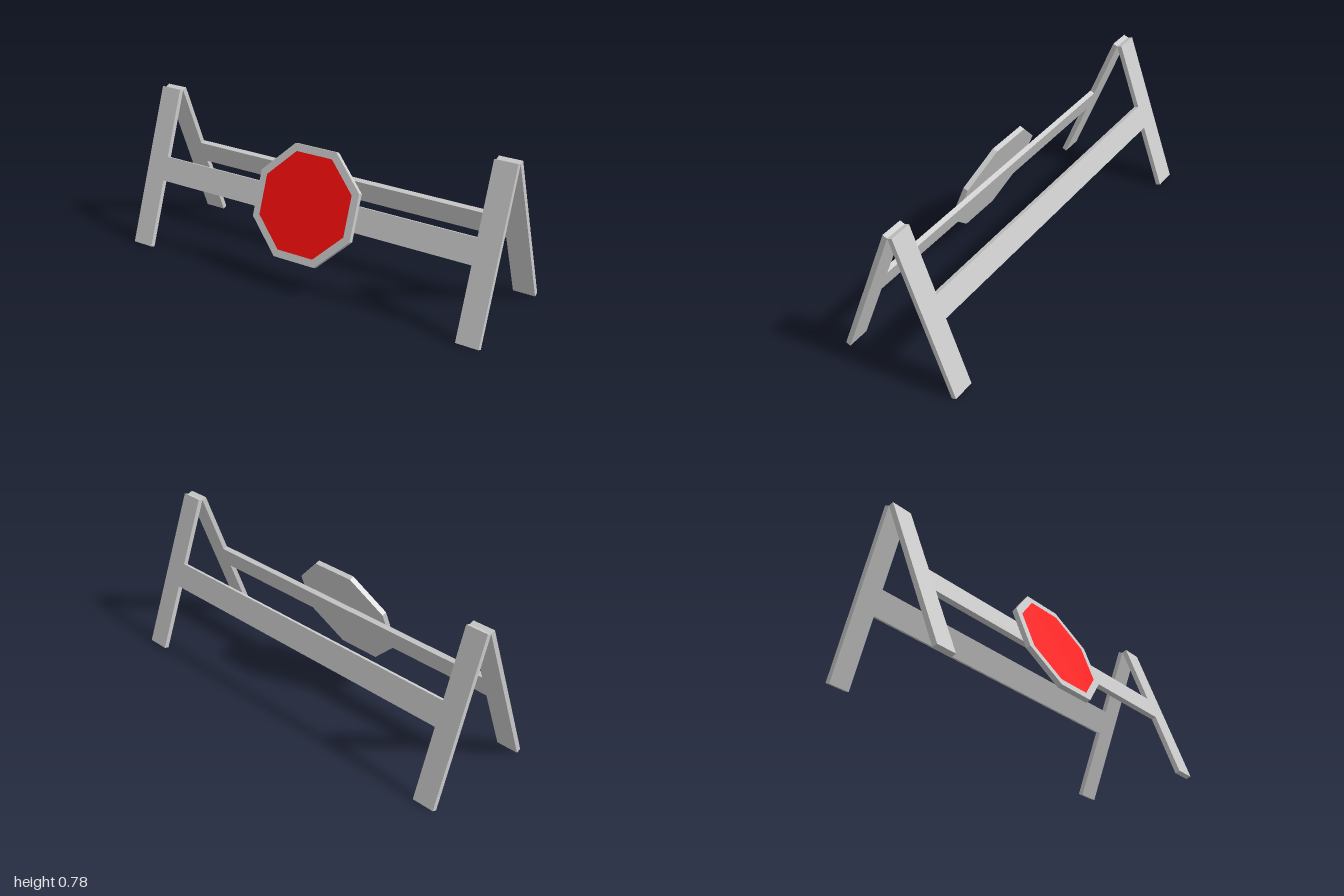
import * as THREE from 'three';

const TILT = 0.36;        // lean of each frame
const HINGE_Y = 0.777;    // height of the line where the frames meet
const THICK = 0.0255;     // board thickness
const LEG_LENGTH = 0.829;
const LEG_WIDTH = 0.115;
const SIGN_Y = -0.407;    // sign centre, measured down the frame

const grey = new THREE.MeshStandardMaterial({ color: 0xcccccc, flatShading: true });
const red = new THREE.MeshStandardMaterial({ color: 0xff0d0d, flatShading: true });

// Flat board whose back lies on z = 0
function board(name, width, height, x, y) {
  const mesh = new THREE.Mesh(new THREE.BoxGeometry(width, height, THICK), grey);
  mesh.position.set(x, y, THICK / 2);
  mesh.name = name;
  return mesh;
}

// Octagon with flat top and sides, given the centre-to-side distance
function octagon(apothem) {
  const radius = apothem / Math.cos(Math.PI / 8);
  const points = [];
  for (let i = 0; i < 8; i++) {
    const a = Math.PI / 8 + (i * Math.PI) / 4;
    points.push(new THREE.Vector2(radius * Math.cos(a), radius * Math.sin(a)));
  }
  return new THREE.Shape(points);
}

// H-shaped frame: two legs joined by a rail, hanging from the hinge line
function createFrame(name) {
  const frame = new THREE.Group();
  frame.name = name;
  for (const [side, label] of [[1, 'left'], [-1, 'right']]) {
    frame.add(board(label + 'Leg', LEG_WIDTH, LEG_LENGTH, side * (1 - LEG_WIDTH / 2), -LEG_LENGTH / 2));
  }
  frame.add(board('crossRail', 2 * (1 - LEG_WIDTH), 0.125, 0, -0.4145));
  frame.position.y = HINGE_Y;
  frame.rotation.x = -TILT;
  return frame;
}

// Octagonal plate with a red face inside a grey border
function createSign() {
  const sign = new THREE.Group();
  sign.name = 'sign';
  const plate = new THREE.Mesh(
    new THREE.ExtrudeGeometry(octagon(0.279), { depth: THICK, bevelEnabled: false }), grey);
  plate.name = 'signPlate';
  const face = new THREE.Mesh(new THREE.ShapeGeometry(octagon(0.242)), red);
  face.name = 'signFace';
  face.position.z = THICK + 0.001;
  sign.add(plate, face);
  sign.position.set(0, SIGN_Y, THICK);
  return sign;
}

export function createModel() {
  const model = new THREE.Group();
  model.name = 'barricade';

  const front = createFrame('frontFrame');
  front.add(createSign());

  // Rear frame is the front one turned around
  const rear = new THREE.Group();
  rear.name = 'rear';
  rear.rotation.y = Math.PI;
  rear.add(createFrame('rearFrame'));

  model.add(front, rear);
  return model;
}
